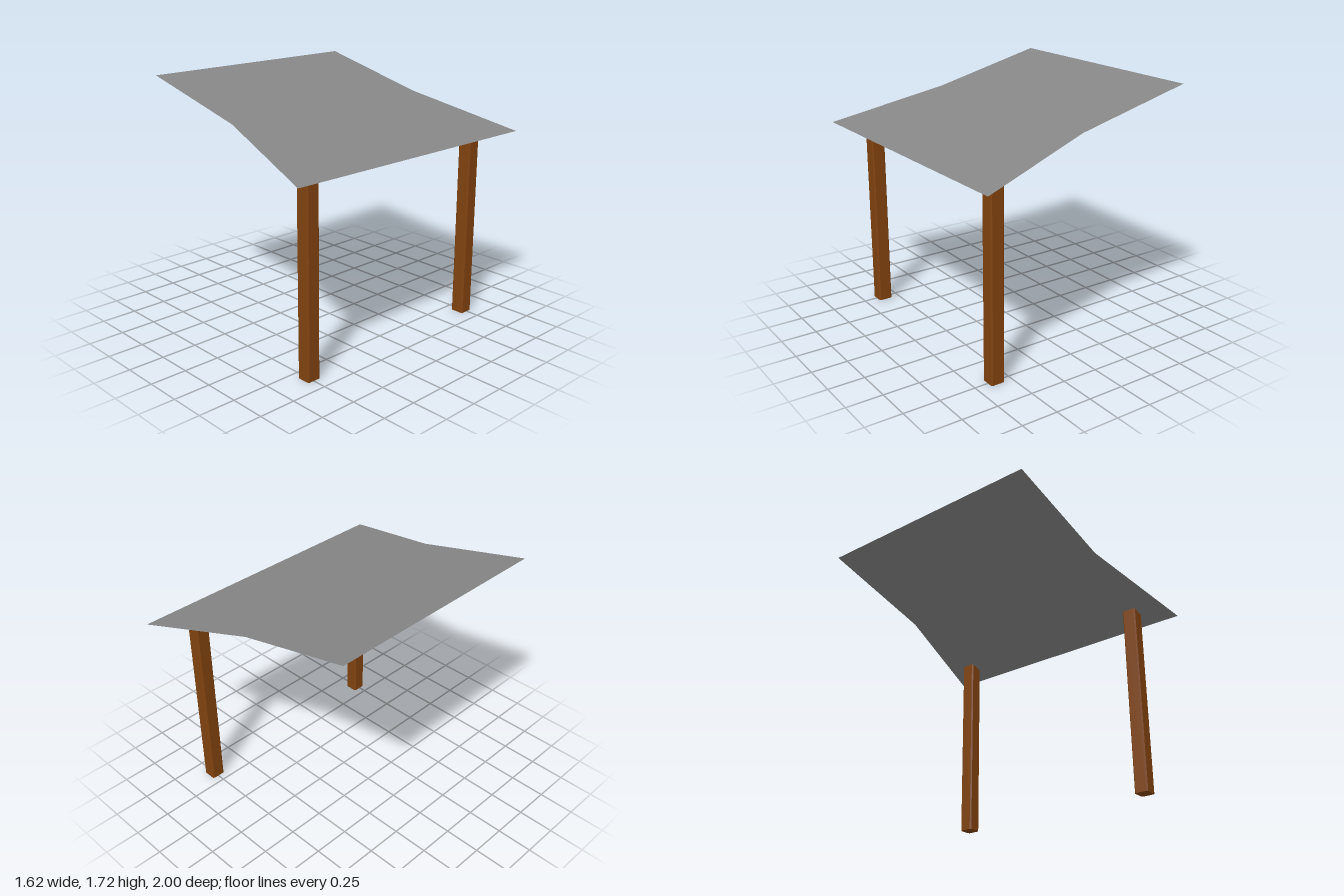
import * as THREE from 'three';

const roofMat = new THREE.MeshStandardMaterial({ name: 'grey canopy', color: 0x868686 });
roofMat.side = THREE.DoubleSide;
const woodMat = new THREE.MeshStandardMaterial({ name: 'brown wood', color: 0x80420e });

const SLOPE = -0.245; // fall of the roof towards +x
const roofY = (x) => 1.523 + SLOPE * x;

// Square post with small chamfers, its top cut parallel to the roof
function createPost(z) {
  const w = 0.049, c = 0.009, x = 0.605;
  const section = new THREE.Shape([
    [w, c - w], [w, w - c], [w - c, w], [c - w, w],
    [-w, w - c], [-w, c - w], [c - w, -w], [w - c, -w],
  ].map(([a, b]) => new THREE.Vector2(a, b)));
  const geo = new THREE.ExtrudeGeometry(section, { depth: 1, bevelEnabled: false });
  geo.rotateX(-Math.PI / 2).translate(x, 0, z);
  const p = geo.attributes.position;
  for (let i = 0; i < p.count; i++) {
    if (p.getY(i) > 0.5) p.setY(i, roofY(p.getX(i)) - 0.037);
  }
  geo.computeVertexNormals();
  return new THREE.Mesh(geo, woodMat);
}

// Thin sloping sheet that flares out over the posts
function createRoof() {
  const outline = new THREE.Shape([
    [-0.81, -0.825], [0.01, -0.825], [0.81, -1],
    [0.81, 1], [0.01, 0.825], [-0.81, 0.825],
  ].map(([x, z]) => new THREE.Vector2(x, z)));
  const geo = new THREE.ShapeGeometry(outline);
  geo.rotateX(-Math.PI / 2);
  const p = geo.attributes.position;
  for (let i = 0; i < p.count; i++) p.setY(i, roofY(p.getX(i)));
  geo.computeVertexNormals();
  return new THREE.Mesh(geo, roofMat);
}

export function createModel() {
  const model = new THREE.Group();
  model.name = 'canopy';

  const roof = createRoof();
  roof.name = 'roof';
  model.add(roof);

  for (const [name, z] of [['frontPost', 0.745], ['backPost', -0.745]]) {
    const post = createPost(z);
    post.name = name;
    model.add(post);
  }
  return model;
}
